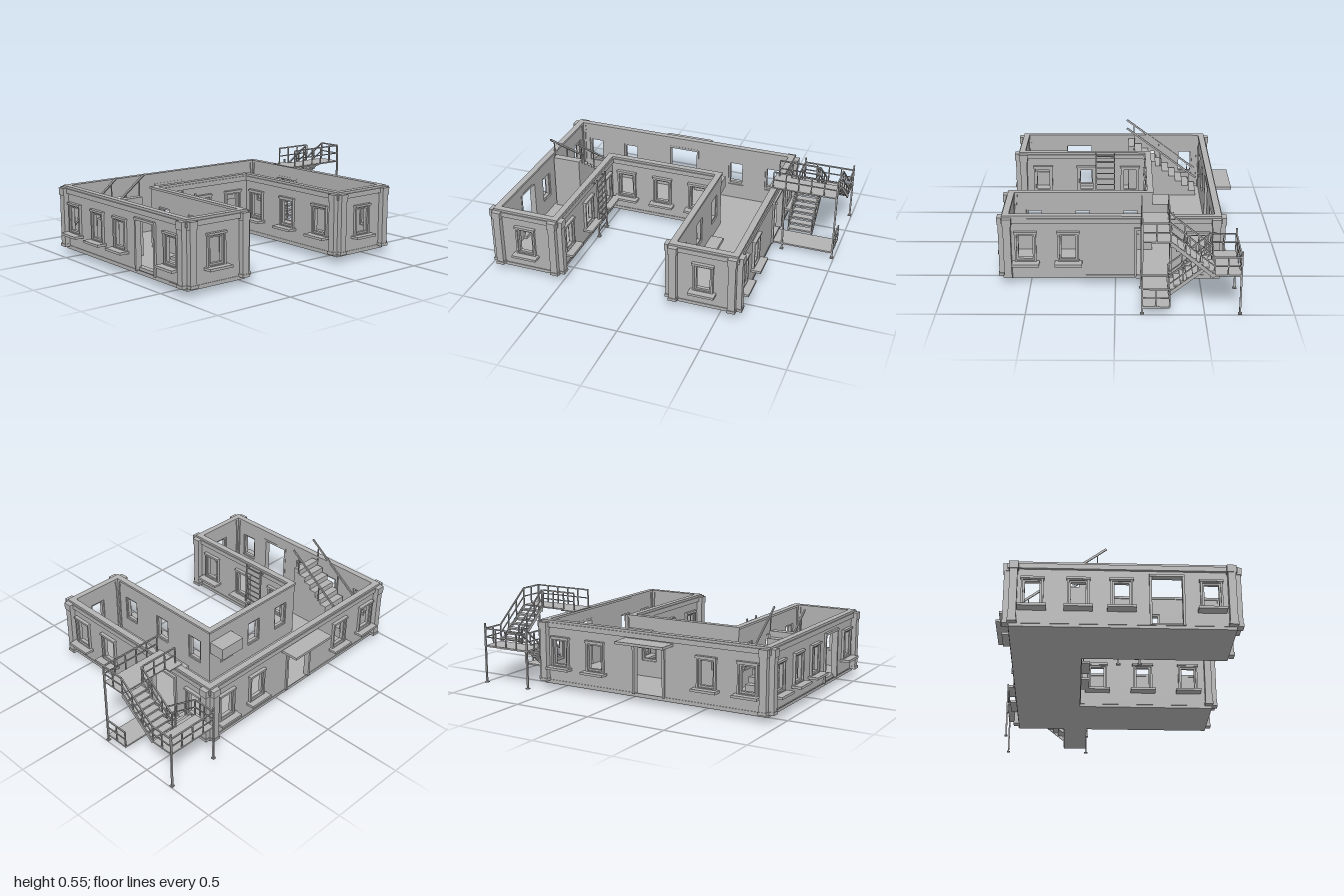
import * as THREE from 'three';

const grey = new THREE.MeshStandardMaterial({ color: 0xb2b2b2 });
grey.name = 'concrete grey';
const T = 0.024; // wall thickness

function add(parent, geometry, name) {
  const mesh = new THREE.Mesh(geometry, grey);
  mesh.name = name;
  parent.add(mesh);
  return mesh;
}

// Box given by its two extreme corners
function box(parent, name, x0, x1, y0, y1, z0, z1) {
  const g = new THREE.BoxGeometry(Math.abs(x1 - x0), Math.abs(y1 - y0), Math.abs(z1 - z0));
  g.translate((x0 + x1) / 2, (y0 + y1) / 2, (z0 + z1) / 2);
  return add(parent, g, name);
}

// Square bar between two points
function bar(parent, name, a, b, w = 0.008, h = w) {
  const A = new THREE.Vector3(...a), B = new THREE.Vector3(...b);
  const m = add(parent, new THREE.BoxGeometry(w, h, A.distanceTo(B)), name);
  m.position.copy(A).lerp(B, 0.5);
  m.lookAt(B);
  return m;
}

// U-shaped floor plan, grown outward by d
const plan = d => [
  [-0.93 - d, 0.65 + d], [-0.525 + d, 0.65 + d], [-0.525 + d, -0.2 + d], [0.2 - d, -0.2 + d],
  [0.2 - d, 0.65 + d], [0.6 + d, 0.65 + d], [0.6 + d, -0.605 - d], [-0.93 - d, -0.605 - d]];
const points = d => plan(d).map(([x, z]) => new THREE.Vector2(x, -z));

// Horizontal slab or ring following the floor plan
function band(parent, name, outer, inner, y0, y1) {
  const shape = new THREE.Shape(points(outer));
  if (inner !== null) shape.holes.push(new THREE.Path(points(inner)));
  const g = new THREE.ExtrudeGeometry(shape, { depth: y1 - y0, bevelEnabled: false });
  g.rotateX(-Math.PI / 2).translate(0, y0, 0);
  add(parent, g, name);
}

const rect = (Type, x0, x1, y0, y1) => new Type([[x0, y0], [x1, y0], [x1, y1], [x0, y1]]
  .map(p => new THREE.Vector2(...p)));

// Rectangular surround with an opening
function surround(parent, name, s, w0, w1, yo, yi, z0, z1) {
  const shape = rect(THREE.Shape, s - w0 / 2, s + w0 / 2, yo[0], yo[1]);
  shape.holes.push(rect(THREE.Path, s - w1 / 2, s + w1 / 2, yi[0], yi[1]));
  const g = new THREE.ExtrudeGeometry(shape, { depth: z1 - z0, bevelEnabled: false });
  add(parent, g.translate(0, 0, z0), name);
}

// One wall: local x runs along it, local +z points outdoors
function wall(parent, name, start, end, rotation, windows, door, extend = 0) {
  const group = new THREE.Group();
  group.name = name;
  group.position.set(start[0], 0, start[1]);
  group.rotation.y = rotation;
  parent.add(group);
  const length = Math.hypot(end[0] - start[0], end[1] - start[1]);
  const axis = Math.abs(end[0] - start[0]) > 0.001 ? 0 : 1;
  const along = c => Math.abs(c - start[axis]);
  const shape = rect(THREE.Shape, -extend, length + extend, 0.035, 0.425);
  for (const c of windows) {
    const s = along(c);
    shape.holes.push(rect(THREE.Path, s - 0.052, s + 0.052, 0.15, 0.318));
    surround(group, 'windowSurround', s, 0.125, 0.102, [0.145, 0.328], [0.152, 0.316], -0.002, 0.016);
    surround(group, 'windowSash', s, 0.106, 0.082, [0.148, 0.32], [0.163, 0.307], -0.016, 0.006);
    box(group, 'windowLintel', s - 0.067, s + 0.067, 0.322, 0.335, 0, 0.022);
    box(group, 'windowSill', s - 0.08, s + 0.08, 0.131, 0.146, -0.01, axis && extend === 0 ? 0.062 : 0.055);
  }
  if (door) {
    const s = along(door.at), w = door.width, top = door.top;
    shape.holes.push(rect(THREE.Path, s - w / 2, s + w / 2, 0.05, top));
    for (const e of [-1, 1]) {
      const edge = s + e * w / 2;
      box(group, 'doorJamb', edge, edge + e * 0.014, 0.05, top, -0.026, 0.012);
    }
    box(group, 'doorHead', s - w / 2 - 0.014, s + w / 2 + 0.014, top, top + 0.014, -0.026, 0.016);
  }
  const g = new THREE.ExtrudeGeometry(shape, { depth: T, bevelEnabled: false });
  add(group, g.translate(0, 0, -T), 'wallPanel');
}

// Railing with top rail, middle rail and posts
function railing(parent, a, b, posts = 3, height = 0.112) {
  const up = (p, h) => [p[0], p[1] + h, p[2]];
  bar(parent, 'handrail', up(a, height), up(b, height));
  bar(parent, 'middleRail', up(a, height * 0.52), up(b, height * 0.52), 0.006);
  for (let i = 0; i < posts; i++) {
    const t = i / (posts - 1);
    const p = a.map((v, k) => v + (b[k] - v) * t);
    bar(parent, 'railPost', p, up(p, height), 0.007);
  }
}

// Open flight rising from z0,y0 to z1,y1
function flight(parent, x0, x1, z0, y0, z1, y1, steps = 7) {
  for (let i = 0; i < steps; i++) {
    const t = (i + 0.5) / steps, z = z0 + (z1 - z0) * t, y = y0 + (y1 - y0) * (i + 1) / (steps + 1);
    box(parent, 'tread', x0, x1, y - 0.005, y + 0.005, z - 0.023, z + 0.023);
  }
  for (const x of [x0, x1]) {
    bar(parent, 'stringer', [x, y0 - 0.005, z0], [x, y1 - 0.005, z1], 0.007, 0.02);
    railing(parent, [x, y0, z0], [x, y1, z1], 4);
  }
}

export function createModel() {
  const model = new THREE.Group();
  model.name = 'buildingWithStairs';
  const H = Math.PI / 2;

  // Floor, plinth, cornice and coping
  band(model, 'floorSlab', 0, null, 0.032, 0.05);
  band(model, 'plinthLower', 0.004, -0.001, 0.05, 0.056);
  band(model, 'cornice', 0.016, -T, 0.388, 0.418);
  band(model, 'coping', 0.009, -T - 0.006, 0.418, 0.432);

  // Walls, counter-clockwise round the plan
  const P = plan(0);
  const court = [-0.09, 0.205, 0.5];
  wall(model, 'leftWingFront', P[0], P[1], 0, [-0.735]);
  wall(model, 'courtyardLeft', P[1], P[2], H, court);
  wall(model, 'courtyardBack', P[2], P[3], 0, [-0.42, -0.17, 0.075], null, T);
  wall(model, 'courtyardRight', P[3], P[4], -H, court);
  wall(model, 'rightWingFront', P[4], P[5], 0, [0.4]);
  wall(model, 'rightSide', P[5], P[6], H, [0.525, 0.275, -0.48], { at: -0.22, width: 0.19, top: 0.345 });
  wall(model, 'backSide', P[6], P[7], 2 * H, [0.47, 0.215, -0.545, -0.805], { at: -0.16, width: 0.19, top: 0.35 });
  wall(model, 'leftSide', P[7], P[0], -H, [-0.48, -0.225, 0.015, 0.515], { at: 0.268, width: 0.17, top: 0.35 });
  box(model, 'doorCanopy', -0.325, 0, 0.365, 0.381, -0.6, -0.725);
  box(model, 'canopyLamp', -0.2, -0.12, 0.345, 0.365, -0.61, -0.66);

  // Corner pilasters with caps
  const corners = [[0, -1, 1], [1, 1, 1], [4, -1, 1], [5, 1, 1], [6, 1, -1], [7, -1, -1]];
  for (const [i, sx, sz] of corners) {
    const [x, z] = P[i];
    for (const [y0, y1, e] of [[0.05, 0.39, 0], [0.375, 0.42, 0.005], [0.05, 0.068, 0.004]]) {
      box(model, 'pilasterSide', x - sx * 0.03, x + sx * (0.034 + e), y0, y1, z - sz * (0.042 + e), z + sz * (0.002 + e));
      box(model, 'pilasterFace', x - sx * (0.042 + e), x + sx * (0.002 + e), y0, y1, z - sz * 0.03, z + sz * (0.034 + e));
    }
  }

  // Solid indoor staircase with two sloping handrails
  const N = 10, z0 = -0.55, run = 0.047;
  const profile = new THREE.Shape().moveTo(z0, 0.05);
  for (let i = 0; i < N; i++) {
    const y = 0.05 + (i + 1) * 0.036;
    profile.lineTo(z0 + i * run, y).lineTo(z0 + (i + 1) * run, y);
  }
  profile.lineTo(z0 + N * run, 0.05);
  const stairs = new THREE.ExtrudeGeometry(profile, { depth: 0.18, bevelEnabled: false });
  stairs.rotateY(-H).translate(-0.71, 0, 0);
  add(model, stairs, 'indoorStairs');
  for (const x of [-0.9, -0.705]) {
    bar(model, 'indoorHandrail', [x, 0.185, -0.55], [x, 0.545, -0.07], 0.008, 0.012);
    for (const z of [-0.5, -0.3, -0.12]) {
      const y = 0.185 + (z + 0.55) * 0.75;
      bar(model, 'indoorRailPost', [x, y - 0.12, z], [x, y, z], 0.006);
    }
  }

  // Indoor fixtures
  box(model, 'wallUnit', 0.04, 0.22, 0.27, 0.35, -0.33, -0.225);
  box(model, 'courtyardStepLeft', -0.64, -0.556, 0.05, 0.07, 0.1, 0.26);
  box(model, 'courtyardStepRight', 0.224, 0.305, 0.05, 0.07, -0.035, 0.17);
  box(model, 'doorStep', -0.92, -0.885, 0.05, 0.07, 0.16, 0.375);

  // Outdoor metal stairs
  const metal = new THREE.Group();
  metal.name = 'outdoorStairs';
  model.add(metal);
  const L = 0.662, R = 0.987, F = -0.15, M = -0.305, K = -0.548, B = -0.697;
  box(metal, 'lowerLanding', 0.6, R, 0.034, 0.044, M, F);
  box(metal, 'middleLanding', L, R, 0.23, 0.24, B, K);
  box(metal, 'upperLanding', 0.582, R, 0.43, 0.438, M, F);
  box(metal, 'landingPlate', 0.56, L, 0.432, 0.438, -0.34, F);
  flight(metal, L, 0.815, M, 0.04, K, 0.235);
  flight(metal, 0.84, R, K, 0.235, M, 0.434);
  railing(metal, [R, 0.04, M], [R, 0.04, F]);
  railing(metal, [L, 0.235, B], [R, 0.235, B], 5);
  for (const x of [L, R]) railing(metal, [x, 0.235, B], [x, 0.235, K]);
  railing(metal, [0.585, 0.434, F], [R, 0.434, F], 6);
  railing(metal, [R, 0.434, F], [R, 0.434, M]);
  railing(metal, [0.585, 0.434, M], [0.83, 0.434, M], 4);
  for (const [x, z, top] of [[L, F, 0.434], [R, F, 0.546], [L, B, 0.38], [R, B, 0.38]]) {
    bar(metal, 'supportPost', [x, 0, z], [x, top, z], 0.01);
    box(metal, 'postFoot', x - 0.011, x + 0.011, 0, 0.006, z - 0.011, z + 0.011);
  }

  // Courtyard wall ladder
  const ladder = new THREE.Group();
  ladder.name = 'ladder';
  model.add(ladder);
  for (const z of [0.015, 0.14]) {
    bar(ladder, 'ladderRail', [-0.483, 0.02, z], [-0.483, 0.435, z], 0.009);
    box(ladder, 'ladderFoot', -0.494, -0.472, 0.016, 0.022, z - 0.013, z + 0.013);
    for (const y of [0.11, 0.41]) bar(ladder, 'ladderBracket', [-0.53, y, z], [-0.483, y, z], 0.006);
  }
  for (let i = 0; i < 10; i++) bar(ladder, 'rung', [-0.483, 0.055 + i * 0.04, 0.015], [-0.483, 0.055 + i * 0.04, 0.14], 0.006);

  return model;
}
